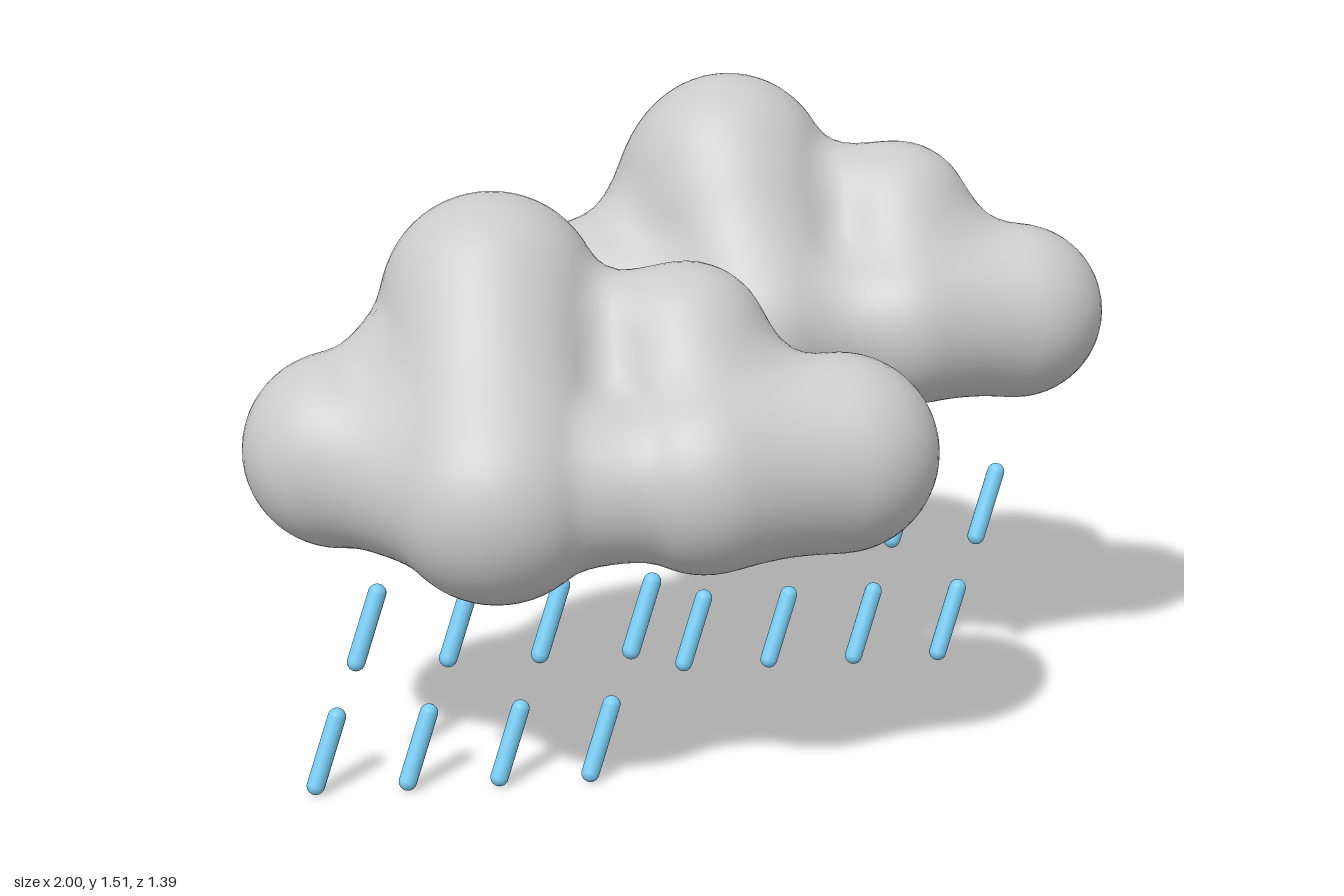
import * as THREE from 'three';

const STEP = 0.025;

// Puffs of each cloud: [x, y, z, radius]
const FRONT_PUFFS = [
  [-0.44, 1.115, 0.14, 0.245], // crown
  [-0.02, 1.03, 0.235, 0.187], // second hump
  [0.306, 0.81, 0.355, 0.222], // right end
  [-0.78, 0.81, 0.215, 0.219], // left end
  [-0.45, 0.78, 0.452, 0.24],  // front puffs
  [0.0, 0.805, 0.438, 0.222],
  [0.02, 0.757, 0.03, 0.216],  // back puffs
  [-0.47, 0.78, -0.03, 0.245],
  [-0.2, 0.86, 0.22, 0.17],    // cores
  [-0.46, 0.8, 0.21, 0.185],
  [-0.445, 0.95, 0.295, 0.2],  // fillers from crown to front, back and left end
  [-0.455, 0.95, 0.035, 0.205],
  [-0.61, 0.96, 0.175, 0.12],
  [-0.615, 0.797, 0.33, 0.15], // fillers around the left end
  [-0.625, 0.795, 0.09, 0.14],
  [-0.22, 0.795, 0.44, 0.135], // filler along the front
];
const BACK_PUFFS = [
  [0.14, 1.27, -0.32, 0.237],
  [0.525, 1.18, -0.23, 0.178],
  [0.797, 0.972, -0.13, 0.204],
  [-0.175, 0.99, -0.25, 0.2],
  [0.185, 0.985, -0.045, 0.198],
  [0.52, 0.978, -0.06, 0.197],
  [0.54, 0.965, -0.415, 0.192],
  [0.1, 0.985, -0.455, 0.241],
  [0.35, 1.0, -0.24, 0.14],
  [0.14, 0.985, -0.25, 0.16],
  [0.16, 1.13, -0.185, 0.178],
  [0.12, 1.13, -0.39, 0.21],
  [0.0, 0.985, -0.15, 0.145],
];

// Sum of soft balls, each reaching 1 at its own radius and fading to 0 soon after.
// Returns a value negative inside; writes its gradient into g if given.
function field(puffs, x, y, z, g) {
  let sum = 0;
  if (g) g.set(0, 0, 0);
  for (const [cx, cy, cz, r] of puffs) {
    const dx = x - cx, dy = y - cy, dz = z - cz;
    const fall = 0.3306 / (r * r);
    const t = 1 - fall * (dx * dx + dy * dy + dz * dz);
    if (t <= 0) continue;
    sum += t * t * t / 0.3;
    if (g) {
      const s = 6 * t * t * fall / 0.3;
      g.x += s * dx; g.y += s * dy; g.z += s * dz;
    }
  }
  return 1 - sum;
}

// Skins the puffs with one smooth surface, by a grid of cells snapped to it
function cloudGeometry(puffs) {
  const lo = [0, 1, 2].map(a => Math.min(...puffs.map(p => p[a] - p[3])) - 0.1);
  const hi = [0, 1, 2].map(a => Math.max(...puffs.map(p => p[a] + p[3])) + 0.1);
  const n = lo.map((v, a) => Math.ceil((hi[a] - v) / STEP) + 1);
  const stride = [1, n[0], n[0] * n[1]];
  const values = new Float32Array(n[0] * n[1] * n[2]).fill(1);
  const each = (start, fn) => {
    for (let k = start; k < n[2] - 1; k++)
      for (let j = start; j < n[1] - 1; j++)
        for (let i = start; i < n[0] - 1; i++) fn(i, j, k, i + j * stride[1] + k * stride[2]);
  };
  each(0, (i, j, k, id) => {
    values[id] = field(puffs, lo[0] + i * STEP, lo[1] + j * STEP, lo[2] + k * STEP);
  });

  // One vertex in every cell the surface crosses
  const positions = [], normals = [], index = [], vertexOf = new Map();
  const p = new THREE.Vector3(), g = new THREE.Vector3();
  each(0, (i, j, k, id) => {
    let inside = 0;
    for (let c = 0; c < 8; c++) {
      const corner = id + (c & 1) + ((c >> 1) & 1) * stride[1] + (c >> 2) * stride[2];
      if (values[corner] < 0) inside++;
    }
    if (inside === 0 || inside === 8) return;
    p.set(lo[0] + (i + 0.5) * STEP, lo[1] + (j + 0.5) * STEP, lo[2] + (k + 0.5) * STEP);
    for (let s = 0; s < 5; s++) {
      const f = field(puffs, p.x, p.y, p.z, g);
      const slope = Math.max(g.length(), 1);
      p.addScaledVector(g, THREE.MathUtils.clamp(-f / slope, -STEP, STEP) / slope);
    }
    field(puffs, p.x, p.y, p.z, g);
    g.normalize();
    vertexOf.set(id, positions.length / 3);
    positions.push(p.x, p.y, p.z);
    normals.push(g.x, g.y, g.z);
  });

  // One quad around every grid edge the surface crosses
  each(1, (i, j, k, id) => {
    for (let a = 0; a < 3; a++) {
      const inA = values[id] < 0, inB = values[id + stride[a]] < 0;
      if (inA === inB) continue;
      const sb = stride[(a + 1) % 3], sc = stride[(a + 2) % 3];
      const q = [id - sb - sc, id - sc, id, id - sb].map(c => vertexOf.get(c));
      if (!inA) q.reverse();
      index.push(q[0], q[1], q[2], q[0], q[2], q[3]);
    }
  });

  const geometry = new THREE.BufferGeometry();
  geometry.setAttribute('position', new THREE.Float32BufferAttribute(positions, 3));
  geometry.setAttribute('normal', new THREE.Float32BufferAttribute(normals, 3));
  geometry.setIndex(index);
  return geometry;
}

export function createModel() {
  const model = new THREE.Group();
  const grey = new THREE.MeshStandardMaterial({ color: 0xcccccc });
  const blue = new THREE.MeshStandardMaterial({ color: 0x78cdf5 });

  // Clouds
  for (const [name, puffs] of [['frontCloud', FRONT_PUFFS], ['backCloud', BACK_PUFFS]]) {
    const cloud = new THREE.Mesh(cloudGeometry(puffs), grey);
    cloud.name = name;
    model.add(cloud);
  }

  // Slanted rain: two rows of four drops under each cloud
  const slant = new THREE.Vector3(0.053, 0.149, -0.044);
  const dropGeometry = new THREE.CapsuleGeometry(0.021, slant.length(), 6, 16);
  const tilt = new THREE.Quaternion().setFromUnitVectors(
    new THREE.Vector3(0, 1, 0), slant.clone().normalize());
  const rows = [ // name, first x, y, z
    ['frontUpperRain', -0.741, 0.37, 0.19],
    ['frontLowerRain', -0.842, 0.097, 0.255],
    ['backUpperRain', 0.146, 0.441, -0.252],
    ['backLowerRain', 0.046, 0.167, -0.184],
  ];
  for (const [name, x, y, z] of rows) {
    const row = new THREE.Group();
    row.name = name;
    for (let i = 0; i < 4; i++) {
      const drop = new THREE.Mesh(dropGeometry, blue);
      drop.name = 'raindrop';
      drop.position.set(x + i * 0.2085, y, z);
      drop.quaternion.copy(tilt);
      row.add(drop);
    }
    model.add(row);
  }
  return model;
}
